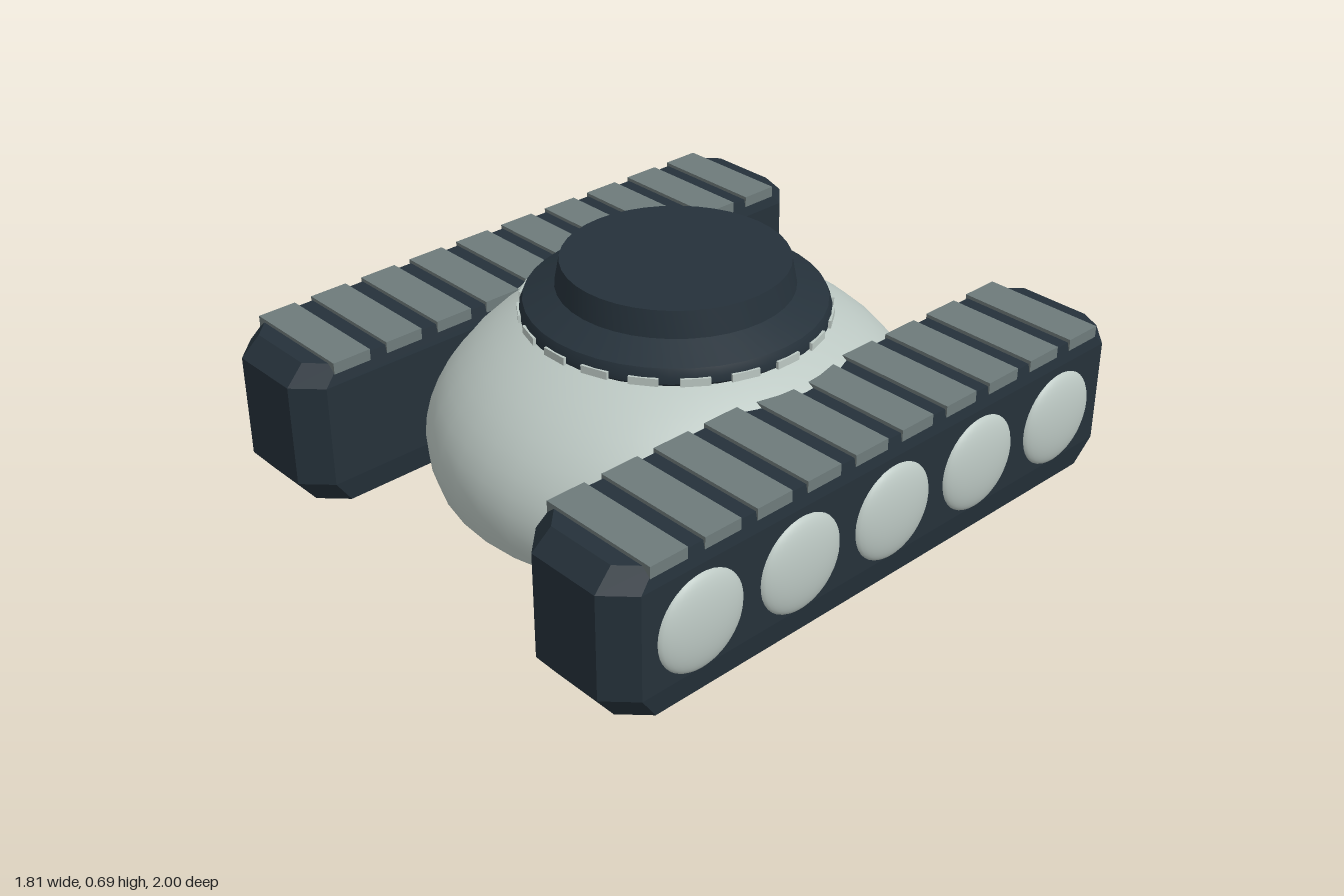
import * as THREE from 'three';
import { toCreasedNormals } from 'three/addons/utils/BufferGeometryUtils.js';

const material = (name, color) => {
  const m = new THREE.MeshStandardMaterial({ color });
  m.name = name;
  return m;
};

// Spun profile of [radius, y] points, listed from bottom to top
const spin = (profile, segments, crease) => toCreasedNormals(
  new THREE.LatheGeometry(profile.map(([r, y]) => new THREE.Vector2(r, y)), segments), crease);

// Flat-faced solid stacked from one convex outline at [y, scale] levels
function stack(outline, levels) {
  const n = outline.length, positions = [], index = [];
  for (const [y, s] of levels) for (const [x, z] of outline) positions.push(x * s, y, z * s);
  for (let k = 0; k < levels.length - 1; k++) {
    for (let i = 0; i < n; i++) {
      const a = k * n + i, b = k * n + (i + 1) % n;
      index.push(a, b, b + n, a, b + n, a + n);
    }
  }
  const top = (levels.length - 1) * n;
  for (let i = 1; i < n - 1; i++) index.push(0, i + 1, i, top, top + i, top + i + 1);
  const indexed = new THREE.BufferGeometry();
  indexed.setAttribute('position', new THREE.Float32BufferAttribute(positions, 3));
  indexed.setIndex(index);
  const geometry = indexed.toNonIndexed();
  geometry.computeVertexNormals();
  return geometry;
}

export function createModel() {
  const model = new THREE.Group();
  model.name = 'trackedVehicle';
  const pale = material('paleGrey', 0xbcc8c3);
  const grey = material('treadGrey', 0x6e7b7b);
  const dark = material('darkSlate', 0x25313a);

  const add = (parent, name, geometry, mat, x = 0, y = 0, z = 0) => {
    const mesh = new THREE.Mesh(geometry, mat);
    mesh.name = name;
    mesh.position.set(x, y, z);
    parent.add(mesh);
    return mesh;
  };

  // Hull: squashed dome cut flat underneath
  const hullProfile = [[0, 0.03]];
  const start = -Math.asin(0.23), steps = 16;
  for (let i = 0; i <= steps; i++) {
    const t = start + (Math.PI / 2 - start) * i / steps;
    hullProfile.push([Math.max(0, 0.755 * Math.cos(t)), 0.137 + 0.463 * Math.sin(t)]);
  }
  add(model, 'hull', spin(hullProfile, 40, 0.6), pale);

  // Turret with a sloping skirt and a flat cap
  const turret = new THREE.Group();
  turret.name = 'turret';
  model.add(turret);
  add(turret, 'turretBody', spin([[0, 0.5], [0.43, 0.5], [0.46, 0.525], [0.46, 0.545],
    [0.45, 0.57], [0.355, 0.61], [0.34, 0.69], [0, 0.69]], 40, 0.5), dark);

  // Ring of small lights around the skirt
  const lightGeometry = new THREE.BoxGeometry(0.085, 0.024, 0.009);
  for (let i = 0; i < 20; i++) {
    const a = i * Math.PI / 10;
    const light = add(turret, 'turretLight', lightGeometry, pale,
      0.461 * Math.sin(a), 0.533, 0.461 * Math.cos(a));
    light.rotation.y = a;
  }

  // Tracks: chamfered blocks with tread pads on top and domed wheels outside
  const outline = [[0.12, 1], [0.2, 0.92], [0.2, -0.92], [0.12, -1],
    [-0.12, -1], [-0.2, -0.92], [-0.2, 0.92], [-0.12, 1]];
  const trackGeometry = stack(outline, [[0, 0.94], [0.08, 1], [0.405, 1], [0.463, 0.94]]);
  const padGeometry = new THREE.BoxGeometry(0.39, 0.036, 0.125);
  const wheelGeometry = new THREE.SphereGeometry(0.15, 32, 20);
  wheelGeometry.scale(0.27, 1, 1);

  for (const side of [1, -1]) {
    const track = new THREE.Group();
    track.name = side > 0 ? 'leftTrack' : 'rightTrack';
    track.position.x = side * 0.67;
    model.add(track);
    add(track, 'trackBlock', trackGeometry, dark);
    for (let i = 0; i < 10; i++) {
      add(track, 'treadPad', padGeometry, grey, 0, 0.456, (i - 4.5) * 0.183);
    }
    for (let i = -2; i <= 2; i++) {
      add(track, 'wheel', wheelGeometry, pale, side * 0.195, 0.23, i * 0.36);
    }
  }
  return model;
}
